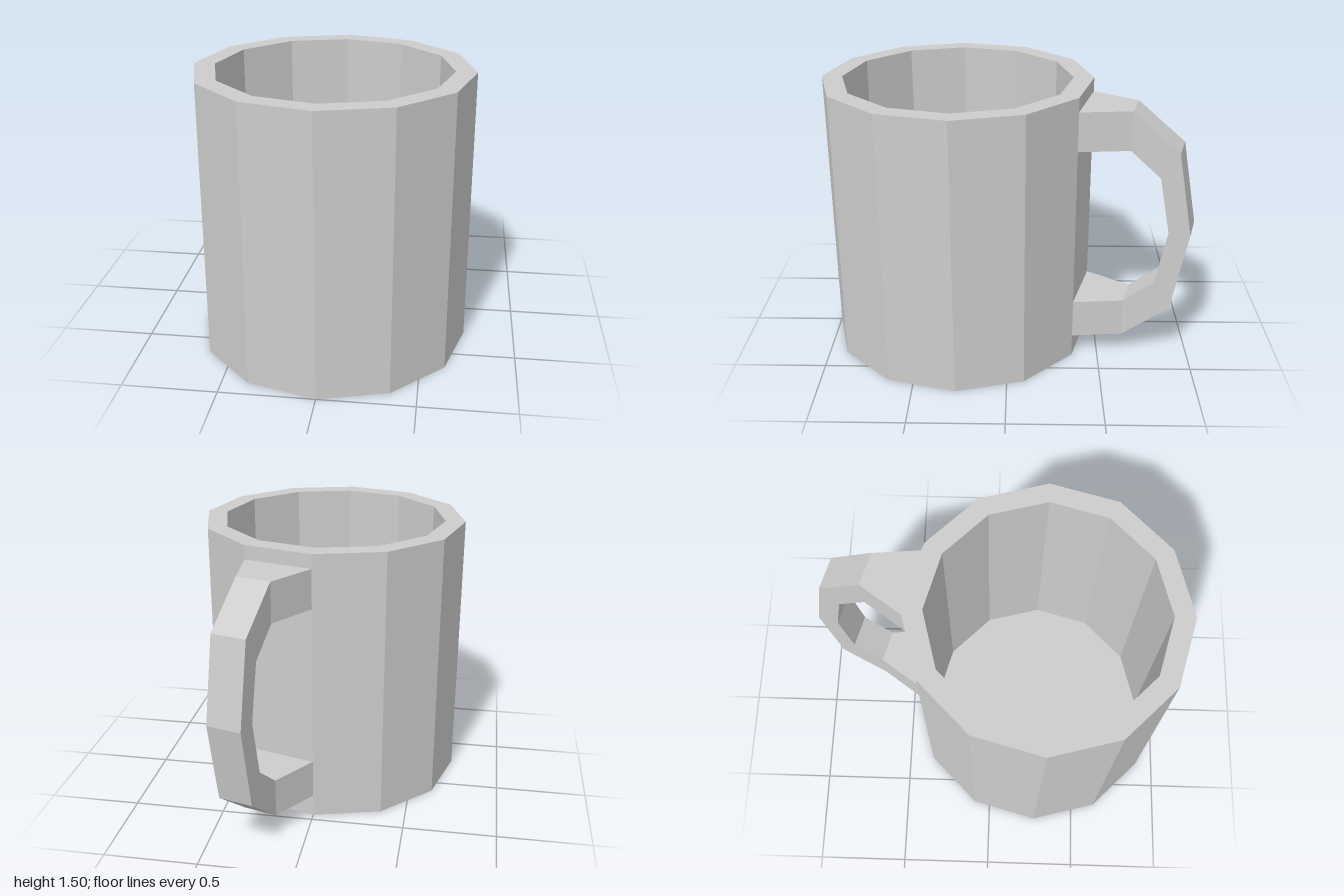
import * as THREE from 'three';

const R = 0.727, CENTRE_Z = 0.272, SIDES = 12;

// Sweeps four-cornered cross-sections (outer pair, inner pair) into a strip of flat quads
function sweep(sections) {
  const rings = sections.map(([uo, yo, ui, yi, w]) => [
    [w, yo, -uo], [-w, yo, -uo], [-w, yi, -ui], [w, yi, -ui],
  ]);
  const pos = [];
  for (let i = 0; i < rings.length - 1; i++) {
    const p = rings[i], q = rings[i + 1];
    for (let k = 0; k < 4; k++) {
      const n = (k + 1) % 4;
      for (const v of [p[k], q[k], q[n], p[k], q[n], p[n]]) pos.push(...v);
    }
  }
  const g = new THREE.BufferGeometry();
  g.setAttribute('position', new THREE.Float32BufferAttribute(pos, 3));
  g.computeVertexNormals();
  return g;
}

export function createModel() {
  const model = new THREE.Group();
  model.name = 'mug';
  const ceramic = new THREE.MeshStandardMaterial({ color: 0xcccccc, flatShading: true });
  ceramic.name = 'grey ceramic';

  // Hollow twelve-sided cup with a bevelled recess underneath
  const profile = [
    [0, 0.04], [0.57, 0.04], [0.64, 0], [R, 0],
    [R, 1.5], [0.618, 1.5], [0.618, 0.11], [0, 0.11],
  ].map(([x, y]) => new THREE.Vector2(x, y));
  const cup = new THREE.Mesh(new THREE.LatheGeometry(profile, SIDES), ceramic);
  cup.name = 'cup';
  cup.position.z = CENTRE_Z;
  model.add(cup);

  // Handle: upper half as [outer reach, outer y, inner reach, inner y, half width],
  // mirrored about its middle height; it flares to the full width of one cup side
  const midY = 0.774, w = 0.094;
  const upper = [
    [0, 1.424, 0, 1.212, R * Math.sin(Math.PI / SIDES)],
    [0.258, 1.424, 0.258, 1.212, w],
    [0.51, 1.222, 0.42, 1.076, w],
  ];
  const middle = [0.592, midY, 0.478, midY, w];
  const lower = upper.map(([uo, yo, ui, yi, hw]) => [uo, 2 * midY - yo, ui, 2 * midY - yi, hw]).reverse();
  const handle = new THREE.Mesh(sweep([...upper, middle, ...lower]), ceramic);
  handle.name = 'handle';

  // Seat the handle on the back side just left of centre
  const a = Math.PI / SIDES, apothem = R * Math.cos(a);
  handle.rotation.y = -a;
  handle.position.set(apothem * Math.sin(a), 0, CENTRE_Z - apothem * Math.cos(a));
  model.add(handle);

  return model;
}
